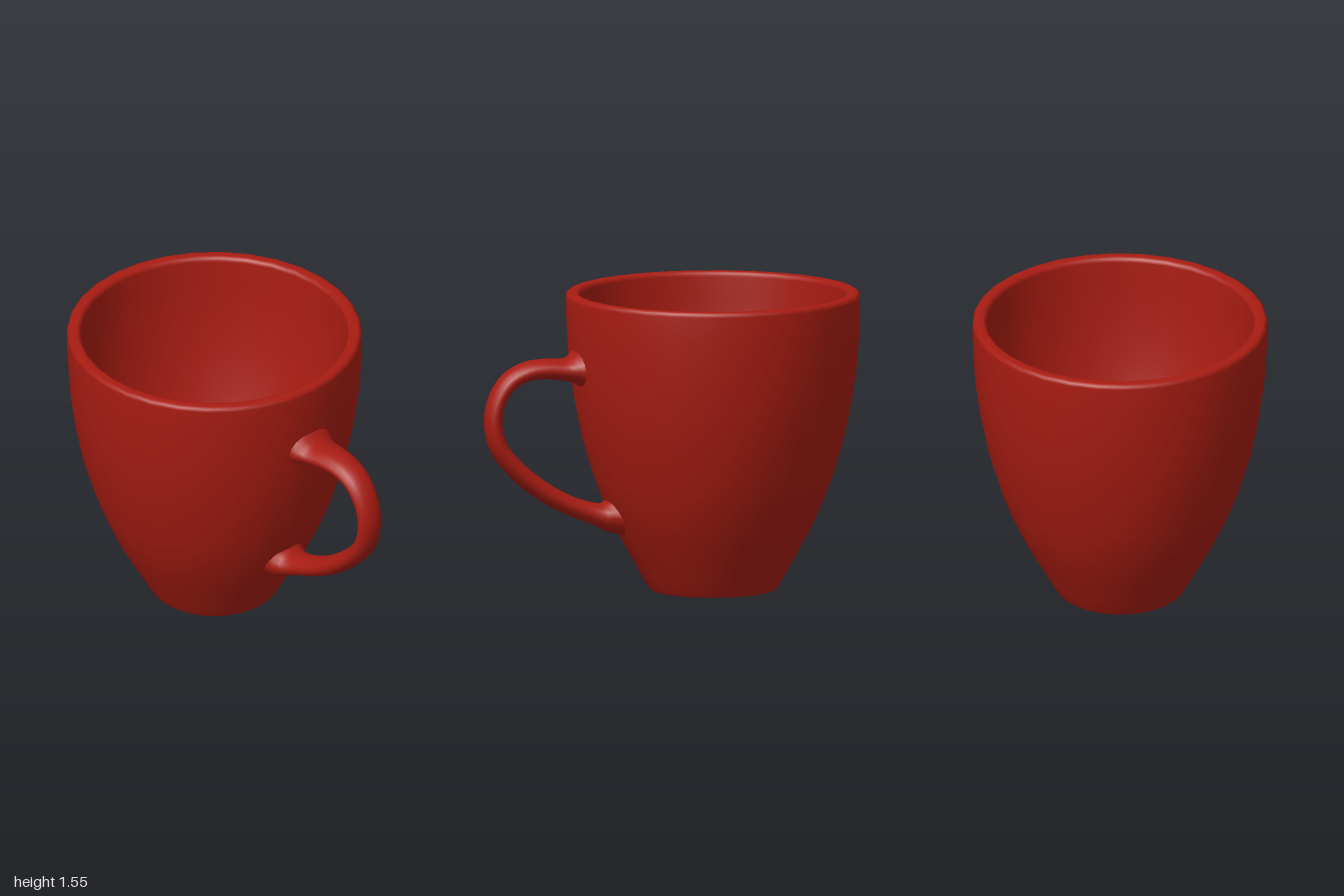
import * as THREE from 'three';
import { mergeVertices } from 'three/addons/utils/BufferGeometryUtils.js';

const CX = -0.24; // axis of the cup

// Outer wall as [radius, height]
const wall = [
  [0.335, 0.012], [0.385, 0.1], [0.44, 0.2], [0.495, 0.3], [0.542, 0.4], [0.584, 0.5],
  [0.62, 0.6], [0.68, 0.8], [0.72, 1.0], [0.748, 1.2], [0.76, 1.4], [0.762, 1.525],
];

function wallRadius(y) {
  const i = Math.max(1, wall.findIndex((p) => p[1] >= y));
  const [r0, y0] = wall[i - 1], [r1, y1] = wall[i];
  return r0 + (r1 - r0) * (y - y0) / (y1 - y0);
}

// Outside, rounded rim, inside and floor in one turned profile
function cupGeometry() {
  const inside = wall.slice(1, -1).reverse().map(([r, y]) => [r - 0.072, y]);
  const profile = [
    [0.322, 0], ...wall,
    [0.758, 1.541], [0.745, 1.55], [0.71, 1.55], [0.696, 1.542], [0.69, 1.525],
    ...inside, [0.28, 0.075], [0.26, 0.07], [0, 0.07],
  ];
  return new THREE.LatheGeometry(profile.map(([r, y]) => new THREE.Vector2(r, y)), 32);
}

// Tube with varying oval section, its ends flared and sunk into the wall
function handleGeometry() {
  // x, y, half thickness, half width
  const sections = [
    [0.49, 1.185, 0.105, 0.15], [0.53, 1.18, 0.068, 0.122], [0.58, 1.18, 0.056, 0.108],
    [0.67, 1.188, 0.052, 0.095], [0.77, 1.178, 0.05, 0.085], [0.865, 1.13, 0.048, 0.078],
    [0.93, 1.035, 0.045, 0.073], [0.952, 0.92, 0.045, 0.072], [0.92, 0.785, 0.047, 0.072],
    [0.82, 0.66, 0.05, 0.072], [0.68, 0.548, 0.05, 0.073], [0.55, 0.475, 0.05, 0.075],
    [0.44, 0.432, 0.054, 0.08], [0.365, 0.41, 0.066, 0.098], [0.3, 0.405, 0.105, 0.128],
  ];
  const path = new THREE.CatmullRomCurve3(
    sections.map(([x, y]) => new THREE.Vector3(x, y, 0)), false, 'catmullrom');
  const sizes = new THREE.CatmullRomCurve3(
    sections.map(([, , t, w]) => new THREE.Vector3(t, w, 0)), false, 'catmullrom');
  const steps = 48, sides = 16;
  const geo = new THREE.TubeGeometry(path, steps, 1, sides);
  const pos = geo.attributes.position;
  const v = new THREE.Vector3();
  for (let i = 0; i <= steps; i++) {
    const c = path.getPointAt(i / steps);
    const s = sizes.getPoint(path.getUtoTmapping(i / steps));
    for (let j = 0; j <= sides; j++) {
      const k = i * (sides + 1) + j;
      v.fromBufferAttribute(pos, k).sub(c);
      v.set(c.x + v.x * s.x, c.y + v.y * s.x, v.z * s.y);
      if (i === 0 || i === steps) {
        const r = wallRadius(v.y) - 0.015;
        v.x = CX + Math.sqrt(r * r - v.z * v.z);
      }
      pos.setXYZ(k, v.x, v.y, v.z);
    }
  }
  geo.deleteAttribute('uv');
  geo.deleteAttribute('normal');
  const merged = mergeVertices(geo);
  merged.computeVertexNormals();
  return merged;
}

export function createModel() {
  const group = new THREE.Group();
  group.name = 'mug';
  const red = new THREE.MeshStandardMaterial({ color: 0xa81c12 });
  const grey = new THREE.MeshStandardMaterial({ color: 0xcccccc });

  const cup = new THREE.Mesh(cupGeometry(), red);
  cup.name = 'cup';
  cup.position.x = CX;

  const handle = new THREE.Mesh(handleGeometry(), red);
  handle.name = 'handle';

  // Unglazed underside
  const base = new THREE.Mesh(new THREE.CircleGeometry(0.322, 32).rotateX(Math.PI / 2), grey);
  base.name = 'base';
  base.position.x = CX;

  group.add(cup, handle, base);
  return group;
}
